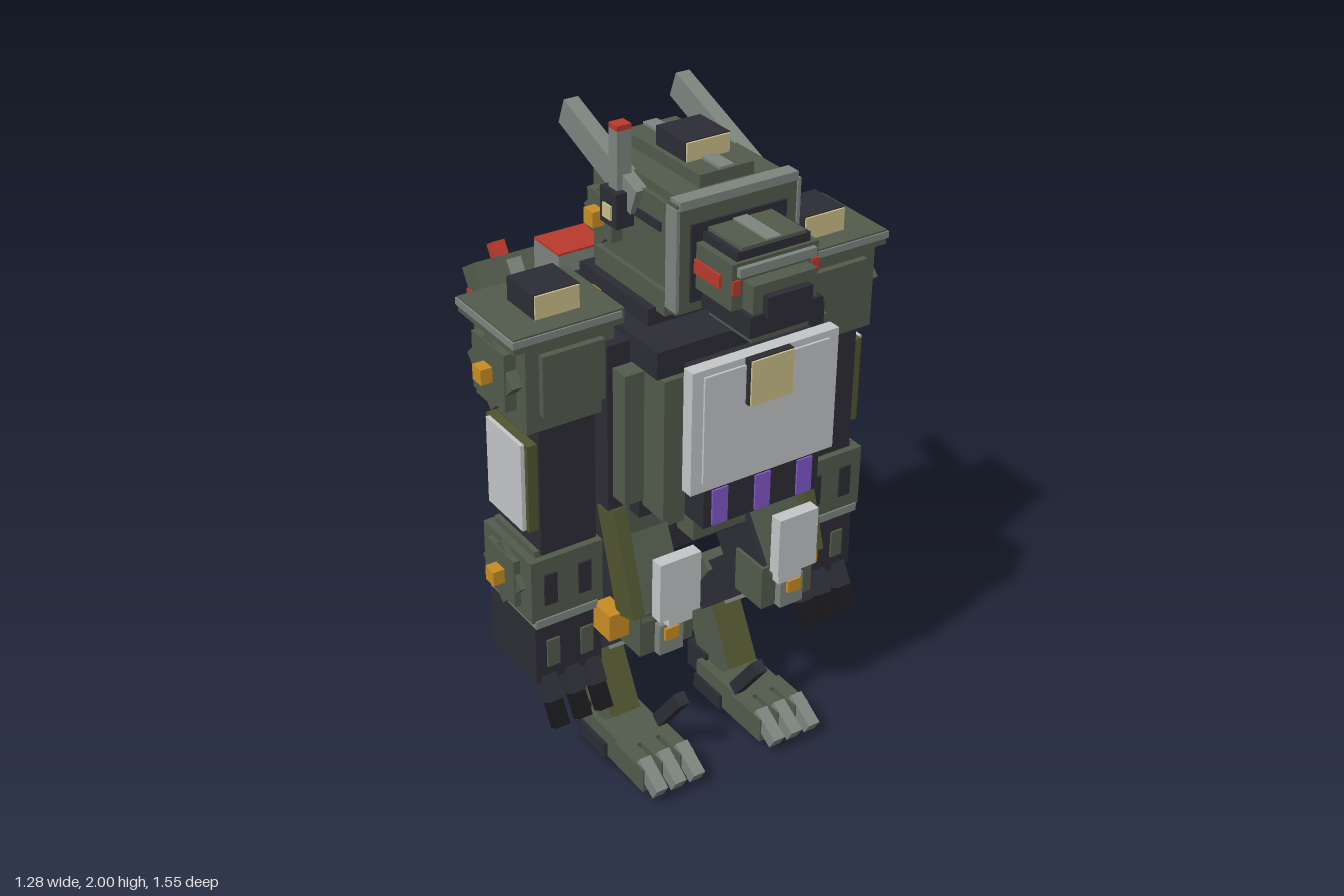
import * as THREE from 'three';

const mat = (name, color) => Object.assign(new THREE.MeshStandardMaterial({ color }), { name });
const green = mat('armour green', 0x525b4c), dark = mat('dark frame', 0x2c2c35), grey = mat('mid grey', 0x7d857f);
const light = mat('light plate', 0xc4c6c8), gold = mat('gold', 0xc98d22), red = mat('red', 0xb93a2d);
const purple = mat('purple', 0x8058c8), olive = mat('olive', 0x51552f), cream = mat('cream', 0xc9bf88);
const black = mat('black', 0x18181c);

export function createModel() {
  const root = new THREE.Group();
  root.name = 'robotBeast';
  let part = root;
  const begin = (name) => { part = new THREE.Group(); part.name = name; root.add(part); };

  // box from min/max limits
  const box = (name, m, x0, x1, y0, y1, z0, z1) => {
    const mesh = new THREE.Mesh(new THREE.BoxGeometry(x1 - x0, y1 - y0, z1 - z0), m);
    mesh.position.set((x0 + x1) / 2, (y0 + y1) / 2, (z0 + z1) / 2);
    mesh.name = name;
    part.add(mesh);
    return mesh;
  };
  // the same box on both sides
  const pair = (name, m, x0, x1, ...r) => {
    box(name + 'Left', m, x0, x1, ...r);
    box(name + 'Right', m, -x1, -x0, ...r);
  };
  // slanted bar between two (y, z) points
  const beam = (name, m, x, w, t, [y0, z0], [y1, z1]) => {
    const mesh = new THREE.Mesh(new THREE.BoxGeometry(w, t, Math.hypot(y1 - y0, z1 - z0)), m);
    mesh.position.set(x, (y0 + y1) / 2, (z0 + z1) / 2);
    mesh.rotation.x = -Math.atan2(y1 - y0, z1 - z0);
    mesh.name = name;
    part.add(mesh);
  };
  const beams = (name, m, x, ...r) => [1, -1].forEach((s) => beam(name + (s > 0 ? 'Left' : 'Right'), m, s * x, ...r));
  // eight-pointed joint cover with a gold bolt, on both sides
  const joint = (name, x0, x1, y, z, size, bolt = 0.045) => {
    for (const s of [1, -1]) {
      for (const a of [0, Math.PI / 4]) {
        const d = new THREE.Mesh(new THREE.BoxGeometry(x1 - x0 - (a ? 0.008 : 0), size, size), green);
        d.position.set(s * (x0 + x1) / 2, y, z);
        d.rotation.x = a;
        d.name = name + 'Cover';
        part.add(d);
      }
    }
    pair(name + 'Bolt', gold, x1, x1 + 0.035, y - bolt / 2, y + bolt / 2, z - bolt / 2, z + bolt / 2);
  };
  // dark lamp block with a cream face
  const lamp = (name, x, y0, y1, z0, z1) => {
    box(name, dark, x - 0.07, x + 0.07, y0, y1, z0, z1);
    box(name + 'Face', cream, x - 0.067, x + 0.067, y0, y1 - 0.003, z1, z1 + 0.006);
  };

  begin('head');
  box('neck', dark, -0.22, 0.22, 1.49, 1.54, 0.12, 0.46);
  box('skull', green, -0.18, 0.18, 1.55, 1.84, 0.13, 0.52);
  box('crown', green, -0.165, 0.165, 1.84, 1.865, 0.13, 0.52);
  box('crownRidge', green, -0.085, 0.085, 1.865, 1.9, 0.13, 0.49);
  box('crownStripe', grey, -0.022, 0.022, 1.9, 1.908, 0.13, 0.49);
  box('browFrame', green, -0.19, 0.19, 1.55, 1.86, 0.5, 0.545);
  pair('browEdge', grey, 0.185, 0.195, 1.56, 1.85, 0.5, 0.55);
  box('browTrim', grey, -0.185, 0.185, 1.845, 1.87, 0.505, 0.55);
  box('visorRecess', dark, -0.15, 0.15, 1.58, 1.8, 0.545, 0.552);
  box('cheekGuard', green, -0.195, 0.195, 1.53, 1.6, 0.16, 0.5);
  pair('sideSlit', dark, 0.18, 0.186, 1.755, 1.78, 0.3, 0.46);
  box('napeSlit', dark, -0.13, 0.13, 1.7, 1.74, 0.124, 0.13);
  box('napePlate', green, -0.11, 0.11, 1.57, 1.67, 0.11, 0.13);
  box('snout', green, -0.135, 0.135, 1.62, 1.75, 0.55, 0.71);
  box('snoutCap', dark, -0.115, 0.115, 1.75, 1.775, 0.55, 0.7);
  box('snoutTop', green, -0.1, 0.1, 1.775, 1.785, 0.55, 0.7);
  box('snoutStripe', grey, -0.022, 0.022, 1.785, 1.79, 0.55, 0.7);
  box('noseBridge', grey, -0.12, 0.12, 1.715, 1.74, 0.71, 0.725);
  box('muzzle', green, -0.1, 0.1, 1.6, 1.7, 0.71, 0.755);
  box('nose', dark, -0.07, 0.07, 1.61, 1.67, 0.755, 0.778);
  box('jaw', dark, -0.115, 0.115, 1.56, 1.62, 0.55, 0.765);
  box('chin', green, -0.09, 0.09, 1.53, 1.56, 0.55, 0.74);
  pair('eye', red, 0.135, 0.142, 1.665, 1.705, 0.55, 0.665);
  pair('eyeFront', red, 0.112, 0.135, 1.665, 1.705, 0.71, 0.716);
  lamp('crownLamp', 0, 1.88, 1.955, 0.265, 0.4);
  beams('ear', grey, 0.18, 0.045, 0.08, [1.8, 0.36], [1.935, 0.005]);
  joint('temple', 0.18, 0.215, 1.715, 0.215, 0.12);
  box('antenna', grey, -0.22, -0.176, 1.72, 1.985, 0.27, 0.31);
  box('antennaTip', red, -0.22, -0.176, 1.985, 2, 0.27, 0.31);
  box('antennaBase', dark, -0.235, -0.18, 1.72, 1.82, 0.25, 0.33);
  box('sensor', cream, -0.241, -0.235, 1.74, 1.78, 0.27, 0.31);

  begin('torso');
  box('core', dark, -0.27, 0.27, 0.93, 1.48, 0.06, 0.5);
  pair('flank', dark, 0.27, 0.34, 0.93, 1.49, 0.05, 0.2);
  pair('flankFront', dark, 0.27, 0.34, 0.95, 1.46, 0.24, 0.45);
  pair('flankPanel', green, 0.27, 0.33, 1, 1.4, 0.46, 0.52);
  box('chest', green, -0.26, 0.26, 0.97, 1.4, 0.48, 0.6);
  box('chestTop', dark, -0.27, 0.27, 1.4, 1.48, 0.45, 0.58);
  box('collar', grey, -0.18, 0.18, 1.48, 1.53, 0.14, 0.42);
  pair('shoulderBolt', gold, 0.22, 0.26, 1.47, 1.5, 0.19, 0.23);
  pair('plateMount', gold, 0.09, 0.18, 1.06, 1.15, 0.58, 0.65);
  box('plateBack', dark, -0.2, 0.2, 1.12, 1.44, 0.6, 0.65);
  box('chestPlate', light, -0.235, 0.235, 1.09, 1.46, 0.65, 0.69);
  box('chestPlateInset', light, -0.2, 0.2, 1.12, 1.44, 0.69, 0.697);
  lamp('chestLamp', 0, 1.325, 1.46, 0.69, 0.712);
  box('ventBlock', dark, -0.19, 0.19, 0.97, 1.09, 0.6, 0.688);
  [-0.14, 0, 0.14].forEach((x) => box('vent', purple, x - 0.025, x + 0.025, 0.975, 1.085, 0.688, 0.694));
  box('waist', green, -0.28, 0.28, 0.83, 0.96, 0.1, 0.45);
  box('belt', grey, -0.25, 0.25, 0.93, 0.955, 0.45, 0.47);
  box('pelvis', dark, -0.13, 0.13, 0.72, 0.84, 0.1, 0.42);
  box('pelvisPlate', green, -0.09, 0.09, 0.79, 0.93, 0.42, 0.5);
  pair('rearSkirt', grey, 0.09, 0.21, 0.61, 0.9, 0.09, 0.16);

  begin('backpack');
  box('mount', green, -0.23, 0.23, 1.03, 1.41, -0.06, 0.06);
  pair('mountRim', grey, 0.16, 0.23, 1.06, 1.39, -0.075, -0.06);
  pair('mountPad', green, 0.08, 0.2, 1.24, 1.38, -0.1, -0.06);
  pair('mountBolt', gold, 0.13, 0.175, 1.31, 1.35, -0.14, -0.1);
  box('bracket', dark, -0.1, 0.1, 1.1, 1.3, -0.12, -0.06);
  box('bracketPin', gold, -0.05, 0.05, 1.16, 1.25, -0.18, -0.12);
  box('tank', grey, -0.115, 0.115, 1.05, 1.405, -0.31, -0.17);
  box('tankLid', red, -0.115, 0.115, 1.405, 1.412, -0.31, -0.17);

  begin('arms');
  pair('shoulder', green, 0.3, 0.57, 1.25, 1.53, 0.15, 0.42);
  pair('shoulderCap', green, 0.27, 0.605, 1.5, 1.545, 0.13, 0.425);
  pair('shoulderTrim', grey, 0.28, 0.61, 1.52, 1.54, 0.125, 0.43);
  pair('shoulderInset', green, 0.34, 0.53, 1.3, 1.48, 0.42, 0.44);
  joint('shoulderJoint', 0.56, 0.605, 1.39, 0.285, 0.17);
  [0.435, -0.435].forEach((x) => lamp('shoulderLamp', x, 1.545, 1.615, 0.22, 0.355));
  pair('upperArm', dark, 0.355, 0.53, 0.85, 1.26, 0.17, 0.41);
  pair('armPlate', olive, 0.515, 0.56, 0.93, 1.2, 0.18, 0.4);
  pair('armPanel', light, 0.56, 0.572, 0.93, 1.2, 0.2, 0.385);
  pair('forearm', green, 0.34, 0.57, 0.64, 0.84, 0.16, 0.42);
  pair('forearmCap', green, 0.35, 0.545, 0.82, 0.86, 0.18, 0.4);
  pair('cuff', grey, 0.36, 0.56, 0.62, 0.645, 0.17, 0.425);
  pair('forearmSlotA', dark, 0.38, 0.42, 0.69, 0.79, 0.42, 0.426);
  pair('forearmSlotB', dark, 0.49, 0.53, 0.69, 0.79, 0.42, 0.426);
  joint('elbowJoint', 0.56, 0.59, 0.745, 0.285, 0.15);
  pair('hand', dark, 0.34, 0.555, 0.42, 0.63, 0.16, 0.41);
  [0.39, 0.5].forEach((x) => pair('knuckle', green, x - 0.02, x + 0.02, 0.47, 0.56, 0.41, 0.417));
  [0.37, 0.44, 0.515].forEach((x) => {
    beams('finger', dark, x, 0.048, 0.05, [0.44, 0.38], [0.36, 0.43]);
    beams('claw', black, x, 0.044, 0.04, [0.37, 0.425], [0.295, 0.47]);
  });

  begin('legs');
  beams('thigh', dark, 0.22, 0.18, 0.2, [0.86, 0.26], [0.58, 0.46]);
  beams('thighSide', olive, 0.31, 0.04, 0.09, [0.94, 0.42], [0.63, 0.52]);
  beams('thighArmour', green, 0.22, 0.15, 0.08, [0.86, 0.4], [0.6, 0.52]);
  pair('thighPlate', light, 0.135, 0.27, 0.64, 0.83, 0.565, 0.605);
  pair('thighPlateInset', light, 0.15, 0.23, 0.6, 0.66, 0.56, 0.59);
  pair('knee', green, 0.12, 0.3, 0.5, 0.64, 0.42, 0.55);
  pair('kneeCap', grey, 0.17, 0.25, 0.5, 0.6, 0.55, 0.575);
  pair('kneeStud', gold, 0.19, 0.235, 0.55, 0.59, 0.575, 0.585);
  pair('kneeBolt', gold, 0.3, 0.365, 0.545, 0.63, 0.41, 0.495);
  beams('shank', dark, 0.21, 0.12, 0.13, [0.57, 0.44], [0.33, 0.17]);
  beams('shankGuard', green, 0.21, 0.15, 0.06, [0.48, 0.24], [0.32, 0.13]);
  beams('shankStrip', grey, 0.21, 0.05, 0.02, [0.47, 0.43], [0.34, 0.28]);
  joint('hockJoint', 0.265, 0.295, 0.31, 0.15, 0.13);
  beams('lowerLeg', green, 0.215, 0.11, 0.13, [0.35, 0.13], [0.08, 0.27]);
  beams('lowerLegFront', olive, 0.215, 0.09, 0.025, [0.36, 0.22], [0.13, 0.345]);
  beams('spur', dark, 0.14, 0.035, 0.04, [0.27, 0.53], [0.12, 0.42]);
  pair('foot', green, 0.13, 0.29, 0.005, 0.1, 0.22, 0.46);
  pair('sole', dark, 0.12, 0.3, 0, 0.05, 0.22, 0.36);
  pair('heel', dark, 0.15, 0.28, 0.03, 0.12, 0.14, 0.24);
  [0.145, 0.21, 0.275].forEach((x) => {
    pair('toe', green, x - 0.025, x + 0.025, 0.02, 0.1, 0.42, 0.57);
    beams('toeTip', grey, x, 0.04, 0.045, [0.1, 0.53], [0.045, 0.625]);
  });

  begin('tail');
  const spine = [[0.9, 0.1], [0.82, -0.175], [0.85, -0.41], [0.955, -0.6], [1.11, -0.71]];
  [0.18, 0.16, 0.14, 0.11].forEach((t, i) => {
    const [a, b] = [spine[i], spine[i + 1]];
    beam('tailSegment', dark, 0, 0.2 - i * 0.025, t, a, b);
    beam('tailRidge', green, 0, 0.06, 0.02, [a[0] + t / 2, a[1] + i * 0.015], [b[0] + t / 2, b[1] + i * 0.015]);
  });
  joint('tailJointA', 0.1, 0.165, 0.82, -0.175, 0.14);
  joint('tailJointB', 0.095, 0.145, 0.845, -0.415, 0.13);
  beam('tailHead', green, 0, 0.275, 0.09, [1.04, -0.61], [1.165, -0.69]);
  beam('tailBack', dark, 0, 0.22, 0.03, [1.01, -0.67], [1.11, -0.745]);
  beam('tailStripe', grey, 0, 0.05, 0.1, [1.05, -0.615], [1.15, -0.68]);
  pair('tailLamp', red, 0.137, 0.142, 1.045, 1.085, -0.695, -0.655);
  beam('tailTip', red, 0, 0.045, 0.045, [1.1, -0.7], [1.185, -0.755]);

  return root;
}
